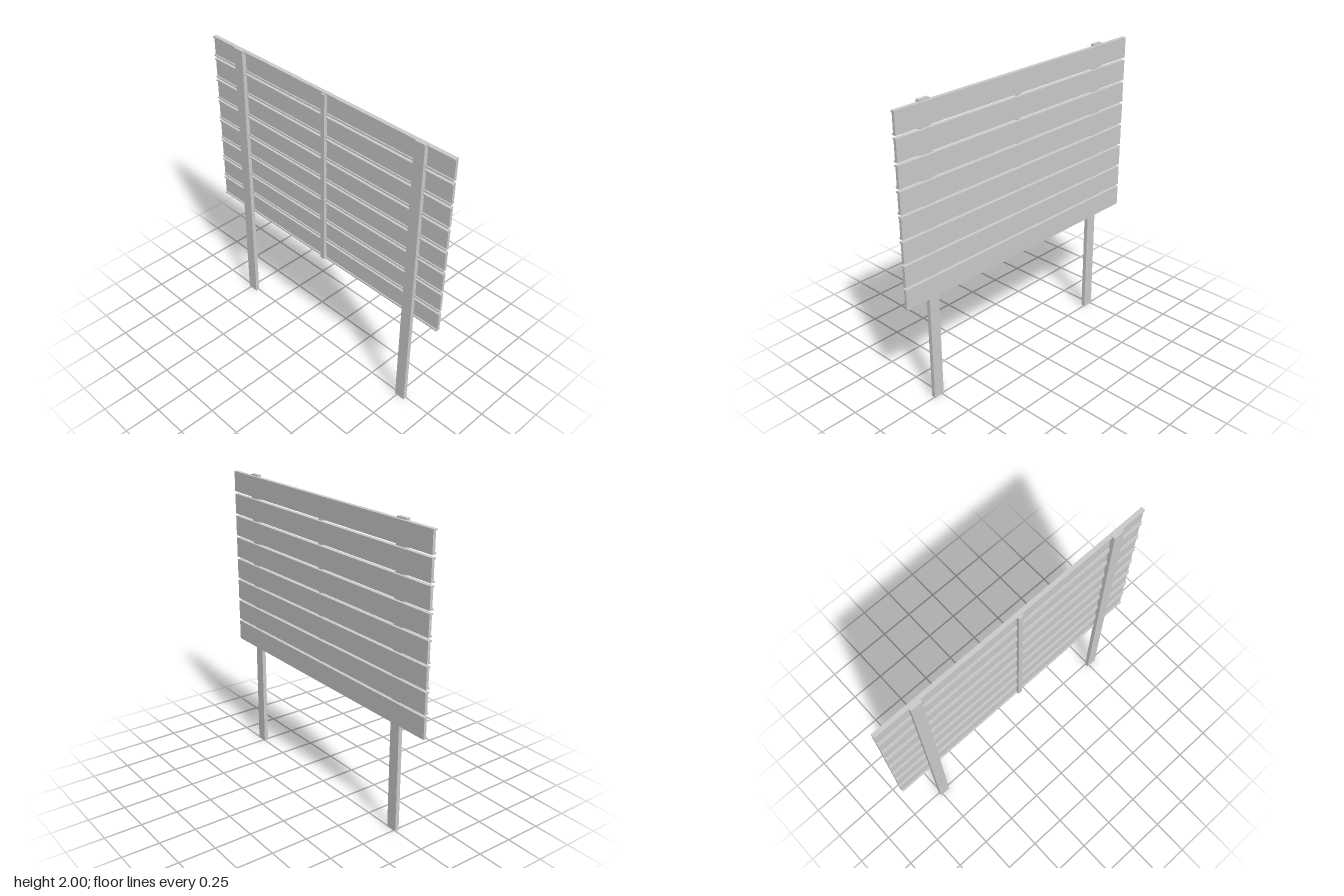
import * as THREE from 'three';

export function createModel() {
  const group = new THREE.Group();
  const material = new THREE.MeshStandardMaterial({ color: 0xcccccc });

  // Box given by its lower and upper limits on each axis
  const addBox = (name, [x0, x1], [y0, y1], [z0, z1]) => {
    const mesh = new THREE.Mesh(new THREE.BoxGeometry(x1 - x0, y1 - y0, z1 - z0), material);
    mesh.position.set((x0 + x1) / 2, (y0 + y1) / 2, (z0 + z1) / 2);
    mesh.name = name;
    group.add(mesh);
  };

  // Two full-height posts and the thin batten between them
  addBox('leftPost', [-0.024, 0.004], [0, 2], [0.735, 0.81]);
  addBox('rightPost', [-0.024, 0.004], [0, 2], [-0.765, -0.688]);
  addBox('middleBatten', [-0.018, 0.004], [0.75, 1.985], [0.01, 0.042]);

  // Channel profile: front plate with flanges turned back at top and bottom
  const height = 0.14, lip = 0.01, front = 0.023, web = 0.004, back = -0.005;
  const profile = new THREE.Shape([
    [front, 0], [front, height], [back, height], [back, height - lip],
    [web, height - lip], [web, lip], [back, lip], [back, 0],
  ].map(([x, y]) => new THREE.Vector2(x, y)));
  const plankGeometry = new THREE.ExtrudeGeometry(profile, { depth: 2, bevelEnabled: false });
  plankGeometry.translate(0, 0, -1);

  // Eight horizontal planks, evenly spaced
  const planks = new THREE.Group();
  planks.name = 'planks';
  for (let i = 0; i < 8; i++) {
    const plank = new THREE.Mesh(plankGeometry, material);
    plank.name = 'plank' + (i + 1);
    plank.position.y = 0.752 + i * 0.157;
    planks.add(plank);
  }
  group.add(planks);
  return group;
}
